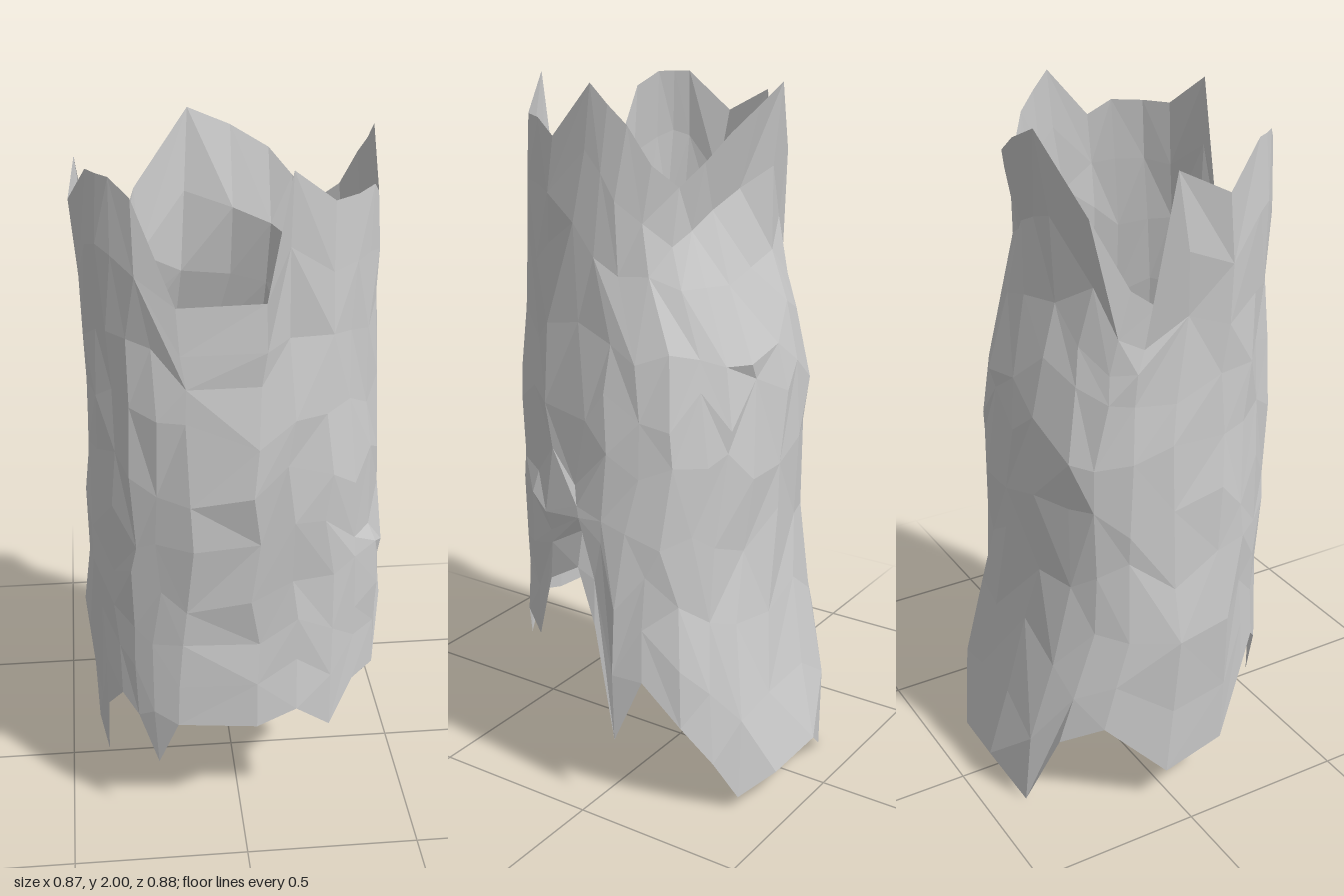
import * as THREE from 'three';

// Torn rims: [bottom angle, bottom y, top angle, top y], angle from +z toward +x
const RIMS = [
  [3, 0.40, 8, 1.66], [17, 0.44, 17, 1.99], [32, 0.35, 36, 1.90], [45, 0.47, 50, 1.90],
  [65, 0.45, 66, 1.90], [76, 0.65, 78, 1.86], [90, 0.71, 95, 2.00], [95, 0.55, 103, 1.95],
  [97, 0.21, 112, 1.90], [112, 0.40, 125, 1.80], [125, 0.27, 140, 1.74], [136, 0.16, 150, 1.80],
  [147, 0.04, 160, 1.87], [165, 0.08, 175, 1.93], [187, 0.10, 189, 1.98], [205, 0.00, 212, 1.78],
  [220, 0.25, 230, 1.60], [238, 0.31, 243, 1.56], [268, 0.12, 255, 1.92], [292, 0.15, 275, 1.85],
  [299, 0.37, 295, 1.96], [310, 0.45, 303, 1.96], [319, 0.40, 311, 1.96], [327, 0.24, 323, 1.92],
  [337, 0.40, 339, 1.65],
];

// Wall extents by height: [y, left-hand x, right-hand x, back z, front z]
const WALL = [
  [0.0, -0.41, 0.43, -0.415, 0.40], [0.1, -0.41, 0.43, -0.435, 0.41], [0.4, -0.43, 0.43, -0.37, 0.43],
  [0.68, -0.43, 0.43, -0.30, 0.405], [0.9, -0.42, 0.415, -0.325, 0.42], [1.15, -0.41, 0.395, -0.33, 0.44],
  [1.4, -0.40, 0.378, -0.28, 0.415], [1.56, -0.395, 0.372, -0.205, 0.395], [1.7, -0.41, 0.37, -0.21, 0.39],
  [1.86, -0.428, 0.37, -0.255, 0.395], [2.0, -0.405, 0.368, -0.265, 0.395],
];

function wallAt(y) {
  let i = 0;
  while (i < WALL.length - 2 && y > WALL[i + 1][0]) i++;
  const t = THREE.MathUtils.clamp((y - WALL[i][0]) / (WALL[i + 1][0] - WALL[i][0]), 0, 1);
  return WALL[i].map((v, k) => THREE.MathUtils.lerp(v, WALL[i + 1][k], t));
}

// Slightly boxy oval section
const soft = (v) => Math.sign(v) * Math.abs(v) ** 0.88;

function wallPoint(degrees, y, dent) {
  const a = THREE.MathUtils.degToRad(degrees);
  const [, x0, x1, z0, z1] = wallAt(y);
  return [
    (x0 + x1) / 2 + ((x1 - x0) / 2 - dent) * soft(Math.sin(a)),
    y,
    (z0 + z1) / 2 + ((z1 - z0) / 2 - dent) * soft(Math.cos(a)),
  ];
}

function seeded(seed) {
  return () => {
    seed = (seed * 16807) % 2147483647;
    return seed / 2147483647 - 0.5;
  };
}

export function createModel() {
  const { lerp } = THREE.MathUtils;
  const rand = seeded(4127);
  const rows = 9, cols = RIMS.length;
  const positions = [], indices = [];

  // Columns run from the lower rim to the upper rim; inner rows relax to even spacing
  for (let r = 0; r <= rows; r++) {
    const inner = r > 0 && r < rows;
    const v = r / rows;
    const relax = Math.sin(Math.PI * v) ** 2;
    for (let c = 0; c < cols; c++) {
      const [a0, y0, a1, y1] = RIMS[c];
      const even = (c + 0.1) * 360 / cols;
      let angle = lerp(lerp(a0, a1, v), even, 0.7 * relax);
      let y = lerp(lerp(y0, y1, v), lerp(0.3, 1.85, v), relax);
      let dent = 0;
      if (inner) {
        angle += rand() * 5 * relax;
        y += rand() * 0.13 * relax;
        dent = rand() * 0.022;
      }
      positions.push(...wallPoint(angle, y, dent));
    }
  }

  // Triangles with mixed diagonals
  for (let r = 0; r < rows; r++) {
    for (let c = 0; c < cols; c++) {
      const n = (c + 1) % cols;
      const a = r * cols + c, b = r * cols + n, d = a + cols, e = b + cols;
      if (rand() > 0) indices.push(a, b, e, a, e, d);
      else indices.push(a, b, d, b, e, d);
    }
  }

  const geometry = new THREE.BufferGeometry();
  geometry.setAttribute('position', new THREE.Float32BufferAttribute(positions, 3));
  geometry.setIndex(indices);
  const flat = geometry.toNonIndexed();
  flat.computeVertexNormals();

  const sleeve = new THREE.Mesh(flat, new THREE.MeshStandardMaterial({
    color: 0xcccccc, flatShading: true, side: THREE.DoubleSide,
  }));
  sleeve.name = 'tornTube';

  const group = new THREE.Group();
  group.name = 'tornTubeModel';
  group.add(sleeve);
  return group;
}
